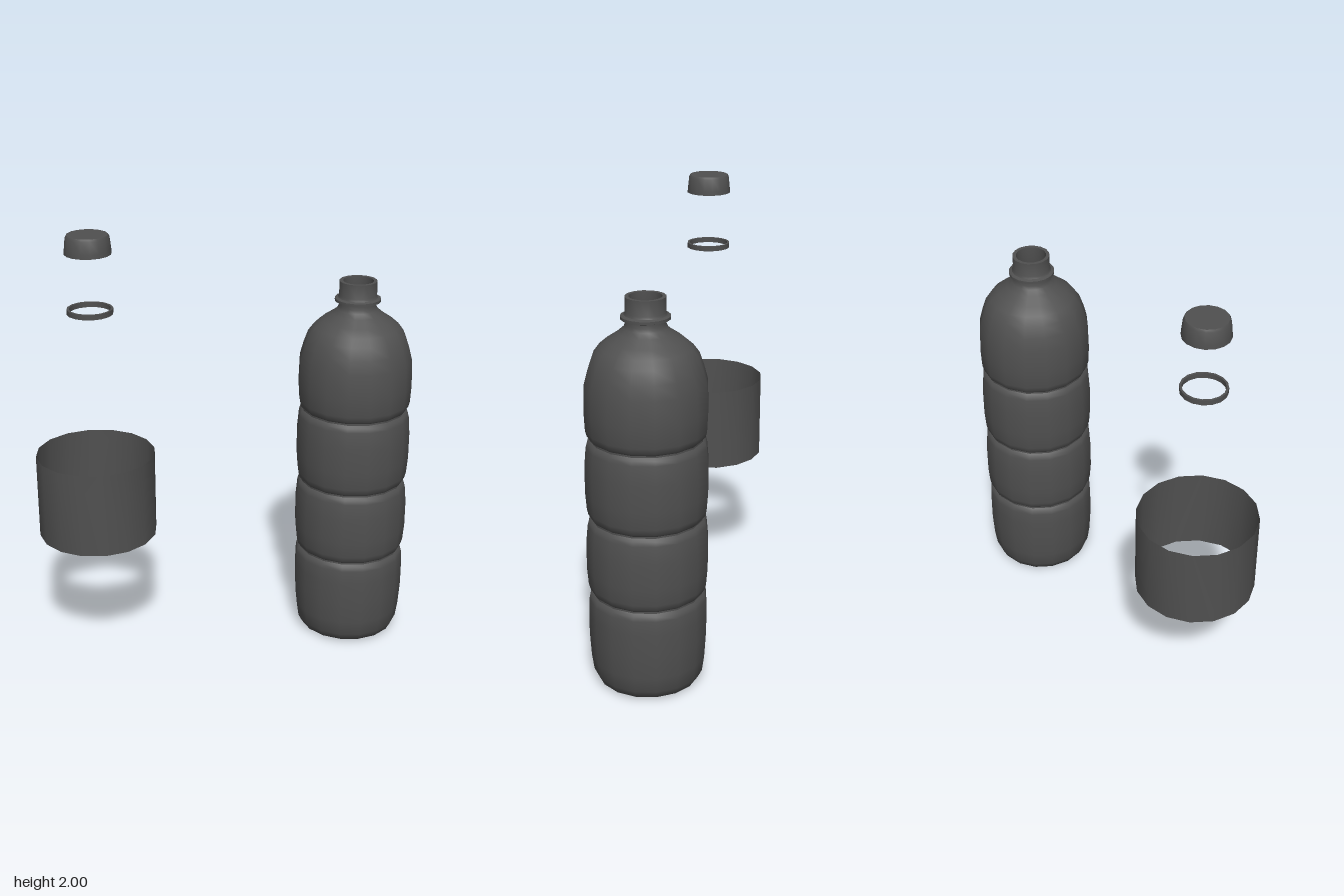
import * as THREE from 'three';
import { toCreasedNormals } from 'three/addons/utils/BufferGeometryUtils.js';

const SIDES = 16;

export function createModel() {
  const model = new THREE.Group();
  const material = new THREE.MeshStandardMaterial({ color: 0x505050, side: THREE.DoubleSide });

  // Turned part from [radius, height] pairs, outside running upwards
  const turned = (name, x, profile) => {
    const points = profile.map(([r, y]) => new THREE.Vector2(r, y));
    const geometry = toCreasedNormals(new THREE.LatheGeometry(points, SIDES), 0.75);
    const mesh = new THREE.Mesh(geometry, material);
    mesh.name = name;
    mesh.position.x = x;
    model.add(mesh);
  };

  // Bottle body: hollowed base and rounded foot
  const body = [
    [0, 0.04], [0.1, 0.03], [0.165, 0.005], [0.195, 0], [0.222, 0.015],
    [0.24, 0.05], [0.25, 0.12], [0.257, 0.23], [0.257, 0.33],
  ];
  // Pinched grooves separating bulging bands
  const grooves = [0.43, 0.775, 1.13];
  grooves.forEach((y, i) => {
    body.push([0.255, y - 0.035], [0.25, y - 0.015], [0.239, y - 0.004],
      [0.239, y + 0.004], [0.25, y + 0.015], [0.256, y + 0.04]);
    if (i < 2) {
      const middle = (y + grooves[i + 1]) / 2;
      body.push([0.262, middle - 0.06], [0.262, middle + 0.06]);
    }
  });
  // Shoulder
  body.push([0.26, 1.25], [0.256, 1.37], [0.24, 1.43], [0.221, 1.485],
    [0.195, 1.52], [0.16, 1.55], [0.115, 1.58], [0.092, 1.6], [0.085, 1.615]);
  // Neck flange, mouth and inner neck wall
  body.push([0.085, 1.632], [0.104, 1.638], [0.104, 1.65], [0.09, 1.655],
    [0.085, 1.665], [0.085, 1.73], [0.069, 1.73], [0.069, 1.62], [0.08, 1.59]);
  turned('bottle', 0.6, body);

  // Label sleeve, open at both ends
  turned('labelSleeve', -0.6, [[0.268, 0.61], [0.268, 0.998]]);

  // Tamper ring
  turned('tamperRing', -0.6, [
    [0.091, 1.652], [0.101, 1.652], [0.101, 1.675], [0.091, 1.675], [0.091, 1.652],
  ]);

  // Cap, hollow underneath
  turned('cap', -0.6, [
    [0, 1.985], [0.084, 1.985], [0.092, 1.917], [0.102, 1.917],
    [0.101, 1.935], [0.095, 1.99], [0.089, 2], [0, 2],
  ]);

  return model;
}
